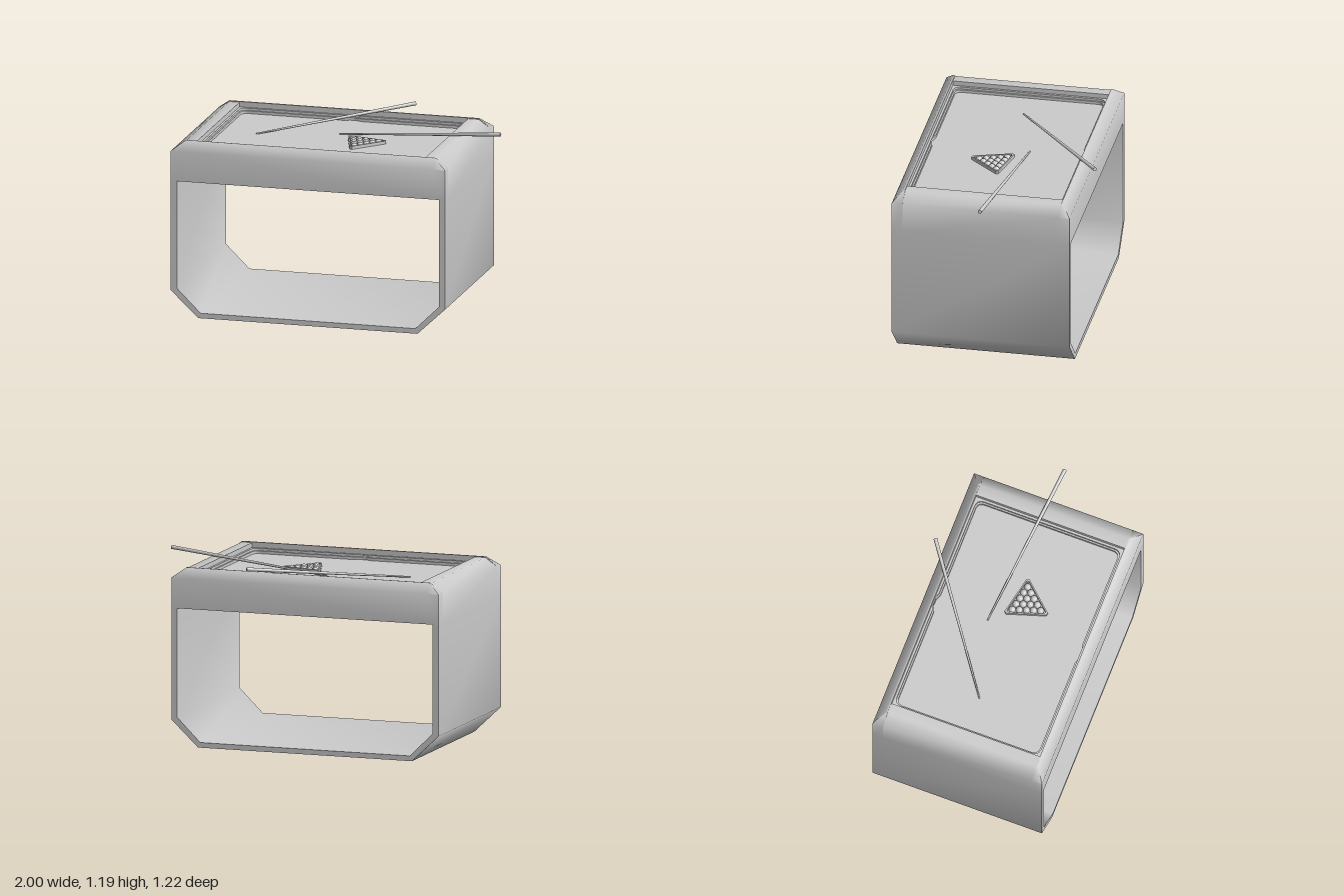
import * as THREE from 'three';

const material = new THREE.MeshStandardMaterial({ color: 0xcccccc, side: THREE.DoubleSide });

function add(parent, name, geometry) {
  const mesh = new THREE.Mesh(geometry, material);
  mesh.name = name;
  parent.add(mesh);
  return mesh;
}

// Area-weighted smooth normals that keep edges sharper than the crease angle
function soften(source, crease = 1.0) {
  const geo = source.index ? source.toNonIndexed() : source;
  const pos = geo.attributes.position;
  const p = [0, 1, 2].map(() => new THREE.Vector3());
  const faces = [], shared = new Map();
  const key = i => [pos.getX(i), pos.getY(i), pos.getZ(i)].map(v => Math.round(v * 1e4)).join();
  for (let i = 0; i < pos.count; i += 3) {
    p.forEach((v, k) => v.fromBufferAttribute(pos, i + k));
    const n = p[1].clone().sub(p[0]).cross(p[2].clone().sub(p[0]));
    faces.push(n);
    for (let k = 0; k < 3; k++) {
      const id = key(i + k);
      if (!shared.has(id)) shared.set(id, []);
      shared.get(id).push(n);
    }
  }
  const normals = new Float32Array(pos.count * 3);
  for (let i = 0; i < pos.count; i++) {
    const own = faces[Math.floor(i / 3)], sum = new THREE.Vector3();
    for (const n of shared.get(key(i))) {
      if (n === own || (n.lengthSq() > 1e-14 && n.angleTo(own) < crease)) sum.add(n);
    }
    sum.normalize().toArray(normals, i * 3);
  }
  geo.setAttribute('normal', new THREE.BufferAttribute(normals, 3));
  return geo;
}

const outline = pts => new THREE.Shape(pts.map(([x, y]) => new THREE.Vector2(x, y)));

function extrude(shape, depth) {
  return new THREE.ExtrudeGeometry(shape, { depth, bevelEnabled: false, curveSegments: 6 });
}

// Long apron: box with its top edge chamfered on the outside and at both ends
function apronGeometry() {
  const section = (x, top, outer) => [
    [x, 0.885, 0.5725], [x, 1.08, 0.5725], [x, top, outer], [x, top, 0.5025], [x, 0.885, 0.5025],
  ];
  const rings = [section(-0.9, 1.08, 0.5725), section(-0.82, 1.14, 0.517),
    section(0.82, 1.14, 0.517), section(0.9, 1.08, 0.5725)];
  const index = [];
  for (let r = 0; r < 3; r++) {
    for (let k = 0; k < 5; k++) {
      const a = r * 5 + k, b = r * 5 + (k + 1) % 5;
      index.push(a, a + 5, b, b, a + 5, b + 5);
    }
  }
  for (let k = 1; k < 4; k++) index.push(0, k, k + 1, 15, 15 + k + 1, 15 + k);
  const geo = new THREE.BufferGeometry();
  geo.setAttribute('position', new THREE.Float32BufferAttribute(rings.flat(2), 3));
  geo.setIndex(index);
  return soften(geo);
}

// Cushion opening: rounded rectangle with a small notch in each long side
function cushionOpening(w, d, r) {
  const path = new THREE.Path();
  path.moveTo(-w + r, -d);
  path.lineTo(-0.06, -d).lineTo(-0.02, -d - 0.016).lineTo(0.02, -d - 0.016).lineTo(0.06, -d);
  path.lineTo(w - r, -d).quadraticCurveTo(w, -d, w, -d + r);
  path.lineTo(w, d - r).quadraticCurveTo(w, d, w - r, d);
  path.lineTo(0.06, d).lineTo(0.02, d + 0.016).lineTo(-0.02, d + 0.016).lineTo(-0.06, d);
  path.lineTo(-w + r, d).quadraticCurveTo(-w, d, -w, d - r);
  path.lineTo(-w, -d + r).quadraticCurveTo(-w, -d, -w + r, -d);
  return path;
}

function cushionRing(w, d, r, depth) {
  const shape = outline([[-0.76, -0.5025], [0.76, -0.5025], [0.76, 0.5025], [-0.76, 0.5025]]);
  shape.holes.push(cushionOpening(w, d, r));
  return soften(extrude(shape, depth).rotateX(Math.PI / 2), 0.6);
}

function triangle(inradius, Type) {
  const s = inradius * Math.sqrt(3), cut = 0.06;
  const corners = [[-s, -inradius], [s, -inradius], [0, 2 * inradius]].map(c => new THREE.Vector2(...c));
  const pts = [];
  corners.forEach((c, i) => {
    pts.push(c.clone().lerp(corners[(i + 2) % 3], cut), c.clone().lerp(corners[(i + 1) % 3], cut));
  });
  return new Type(pts);
}

function addCue(parent, tip, butt) {
  const a = new THREE.Vector3(...tip), b = new THREE.Vector3(...butt);
  const dir = b.clone().sub(a);
  const cue = add(parent, 'cue', new THREE.CylinderGeometry(0.0125, 0.005, dir.length(), 16));
  cue.position.copy(a).add(b).multiplyScalar(0.5);
  cue.quaternion.setFromUnitVectors(new THREE.Vector3(0, 1, 0), dir.normalize());
}

export function createModel() {
  const model = new THREE.Group();
  model.name = 'poolTable';
  const table = new THREE.Group();
  table.name = 'table';
  table.position.set(-0.1, 0, 0.0325);
  model.add(table);

  // Wrap-around base: two side panels joined to the floor by chamfers
  const base = outline([
    [-0.9, 0.885], [-0.9, 0.17], [-0.72, 0], [0.72, 0], [0.9, 0.17], [0.9, 0.885],
    [0.86, 0.885], [0.86, 0.185], [0.705, 0.033], [-0.705, 0.033], [-0.86, 0.185], [-0.86, 0.885],
  ]);
  add(table, 'base', soften(extrude(base, 1.145).translate(0, 0, -0.5725)));

  // Aprons on the long sides, end rails between them
  const rail = outline([
    [0.9, 0.885], [0.9, 1.08], [0.82, 1.135], [0.75, 1.135],
    [0.75, 1.055], [0.86, 1.055], [0.86, 0.885],
  ]);
  for (const turn of [0, Math.PI]) {
    add(table, 'apron', apronGeometry()).rotation.y = turn;
    add(table, 'endRail', soften(extrude(rail, 1.005).translate(0, 0, -0.5025))).rotation.y = turn;
  }

  // Playing surface with a stepped cushion around it
  add(table, 'bed', new THREE.BoxGeometry(1.52, 0.004, 1.005)).position.y = 1.07;
  add(table, 'cushion', cushionRing(0.735, 0.488, 0.05, 0.045)).position.y = 1.105;
  add(table, 'cushionLip', cushionRing(0.725, 0.478, 0.045, 0.03)).position.y = 1.09;

  // Rack with fifteen balls
  const rack = new THREE.Group();
  rack.name = 'rack';
  rack.position.set(0.108, 1.078, 0.08);
  rack.rotation.y = -0.21;
  model.add(rack);
  const frame = triangle(0.084, THREE.Shape);
  frame.holes.push(triangle(0.0755, THREE.Path));
  add(rack, 'rackFrame', extrude(frame, 0.034).rotateX(Math.PI / 2)).position.y = 0.014;
  const r = 0.0225, ballGeometry = new THREE.SphereGeometry(r, 20, 14);
  for (let row = 0; row < 5; row++) {
    for (let i = 0; i <= row; i++) {
      add(rack, 'ball', ballGeometry).position.set(
        (2 * i - row) * r, 0, (8 / 3 - row) * r * Math.sqrt(3) - 0);
    }
  }

  // Cues resting across the rails
  addCue(model, [-0.6, 1.075, 0.03], [0.27, 1.175, -0.6]);
  addCue(model, [-0.09, 1.075, -0.11], [0.995, 1.175, 0]);
  return model;
}
